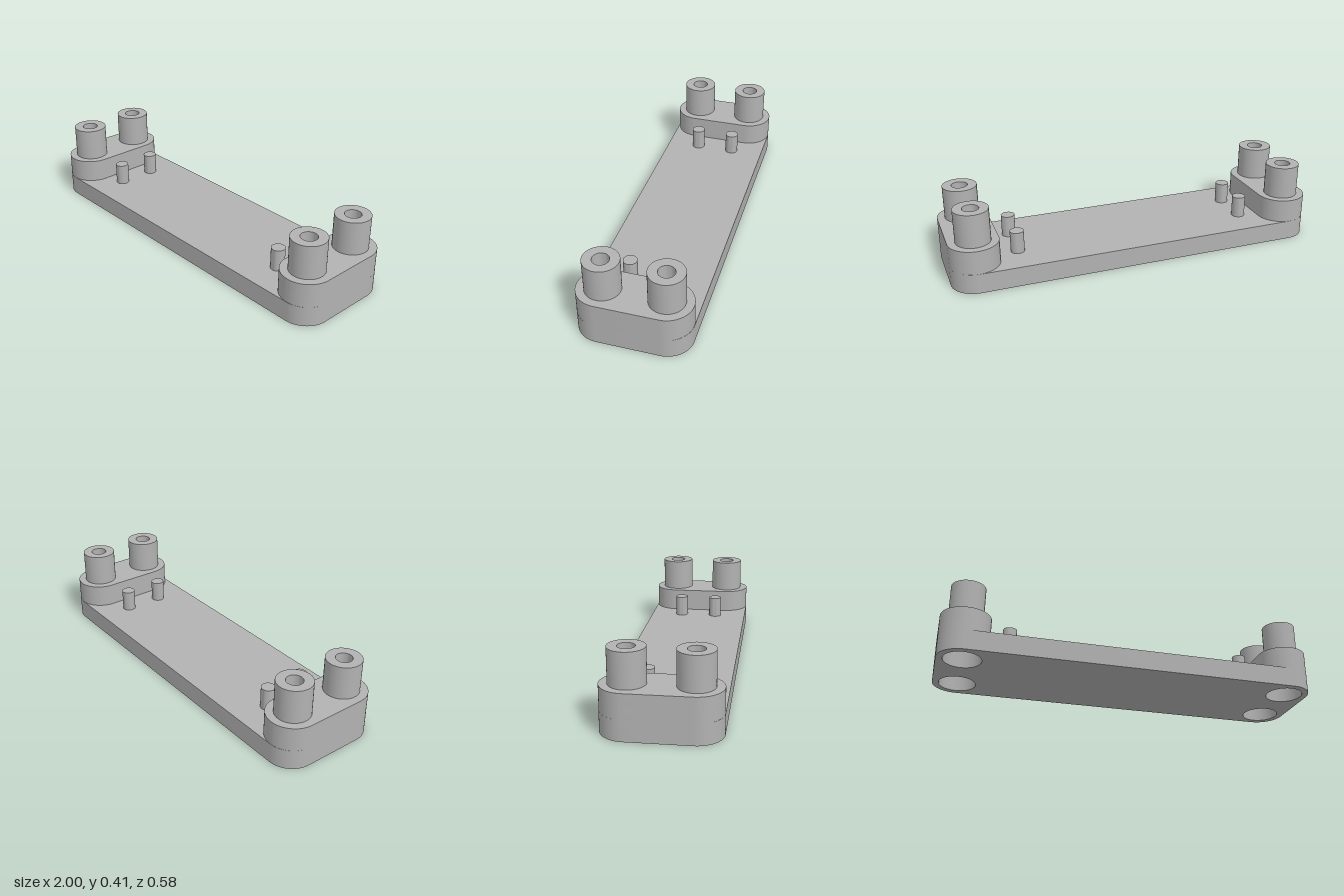
import * as THREE from 'three';
import { toCreasedNormals } from 'three/addons/utils/BufferGeometryUtils.js';

const END_X = 0.87, POST_Z = 0.157;   // screw post centres
const POST_R = 0.09, BORE_R = 0.042, SINK_R = 0.097;
const PLATE_TOP = 0.105, SINK_TOP = 0.17, BLOCK_TOP = 0.23, POST_TOP = 0.405;
const PIN_X = 0.638, PIN_Z = 0.104, PIN_R = 0.036, PIN_TOP = 0.22;

// Rounded rectangle centred on the origin, half sizes w and h, corner radius r
function roundedRect(w, h, r) {
  const s = new THREE.Shape();
  s.absarc(w - r, h - r, r, 0, Math.PI / 2);
  s.absarc(-w + r, h - r, r, Math.PI / 2, Math.PI);
  s.absarc(-w + r, -h + r, r, Math.PI, Math.PI * 1.5);
  s.absarc(w - r, -h + r, r, Math.PI * 1.5, Math.PI * 2);
  s.closePath();
  return s;
}

function disc(r) {
  const s = new THREE.Shape();
  s.absarc(0, 0, r, 0, Math.PI * 2);
  return s;
}

function addHole(shape, x, z, r) {
  const hole = new THREE.Path();
  hole.absarc(x, z, r, 0, Math.PI * 2, true);
  shape.holes.push(hole);
  return shape;
}

// Upright solid of a plan shape between two heights
function slab(shape, bottom, top) {
  const g = new THREE.ExtrudeGeometry(shape, { depth: top - bottom, bevelEnabled: false, curveSegments: 24 });
  g.rotateX(-Math.PI / 2).translate(0, bottom, 0);
  return toCreasedNormals(g, 0.6);
}

export function createModel() {
  const model = new THREE.Group();
  model.name = 'mountingBracket';
  const grey = new THREE.MeshStandardMaterial({ color: 0xb2b2b2 });
  grey.name = 'grey';

  const add = (name, geometry, x = 0, z = 0) => {
    const mesh = new THREE.Mesh(geometry, grey);
    mesh.name = name;
    mesh.position.set(x, 0, z);
    model.add(mesh);
  };

  // Base plate with the four countersunk openings
  const plate = roundedRect(1, 0.288, 0.13);
  for (const x of [-END_X, END_X])
    for (const z of [-POST_Z, POST_Z]) addHole(plate, x, z, SINK_R);
  add('basePlate', slab(plate, 0, PLATE_TOP));

  // End block: wide recess below, narrow bores above
  const block = (r) => {
    const s = roundedRect(0.13, 0.287, 0.13);
    for (const z of [-POST_Z, POST_Z]) addHole(s, 0, z, r);
    return s;
  };
  const blockLower = slab(block(SINK_R), PLATE_TOP, SINK_TOP);
  const blockUpper = slab(block(BORE_R), SINK_TOP, BLOCK_TOP);
  const post = slab(addHole(disc(POST_R), 0, 0, BORE_R), BLOCK_TOP, POST_TOP);
  const pin = slab(disc(PIN_R), PLATE_TOP, PIN_TOP);

  for (const [side, label] of [[1, 'left'], [-1, 'right']]) {
    add(label + 'EndBlockLower', blockLower, side * END_X);
    add(label + 'EndBlockUpper', blockUpper, side * END_X);
    // Hollow screw posts and locating pins, front and back
    for (const [dir, place] of [[1, 'Front'], [-1, 'Back']]) {
      add(label + place + 'Post', post, side * END_X, dir * POST_Z);
      add(label + place + 'Pin', pin, side * PIN_X, dir * PIN_Z);
    }
  }
  return model;
}
